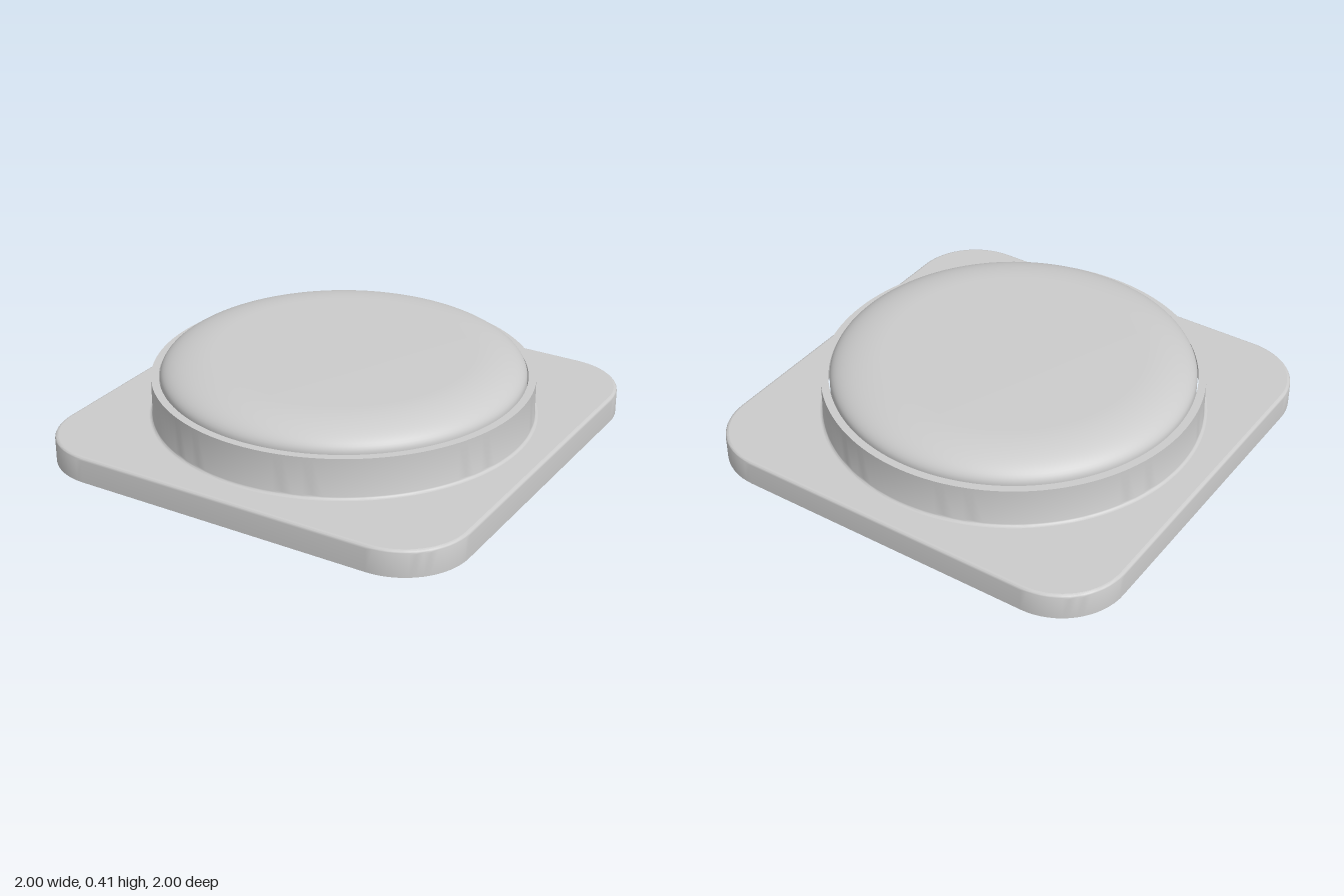
import * as THREE from 'three';
import { toCreasedNormals } from 'three/addons/utils/BufferGeometryUtils.js';

const material = new THREE.MeshStandardMaterial({ color: 0xcccccc, side: THREE.DoubleSide });
const CORNER = 0.3, PLATE_TOP = 0.12, BEVEL = 0.015;

// Rounded square outline, counter-clockwise, shrunk by an inset
function outline(inset) {
  const r = CORNER - inset, c = 1 - CORNER, steps = 16, points = [];
  for (let k = 0; k < 4; k++) {
    const cx = k === 0 || k === 3 ? c : -c, cy = k < 2 ? c : -c;
    for (let i = 0; i <= steps; i++) {
      const a = (k + i / steps) * Math.PI / 2;
      points.push(new THREE.Vector2(cx + r * Math.cos(a), cy + r * Math.sin(a)));
    }
  }
  return points;
}

// Side wall through stacked outlines, given as [inset, height] levels
function loftWall(levels) {
  const positions = [], index = [];
  let n = 0;
  for (const [inset, y] of levels) {
    const ring = outline(inset);
    n = ring.length;
    for (const p of ring) positions.push(p.x, y, -p.y);
  }
  for (let l = 0; l < levels.length - 1; l++) {
    for (let i = 0; i < n; i++) {
      const a = l * n + i, b = l * n + (i + 1) % n;
      index.push(a, b, b + n, a, b + n, a + n);
    }
  }
  const geometry = new THREE.BufferGeometry();
  geometry.setAttribute('position', new THREE.Float32BufferAttribute(positions, 3));
  geometry.setIndex(index);
  return toCreasedNormals(geometry, 0.6);
}

// Turned part from [radius, height] points
function turned(profile) {
  const lathe = new THREE.LatheGeometry(profile.map(([r, y]) => new THREE.Vector2(r, y)), 128);
  return toCreasedNormals(lathe, 0.6);
}

// Points of a quarter ellipse between two angles
function arc(cx, cy, rx, ry, from, to, steps) {
  return Array.from({ length: steps + 1 }, (_, i) => {
    const a = from + (to - from) * i / steps;
    return [cx + rx * Math.cos(a), cy + ry * Math.sin(a)];
  });
}

export function createModel() {
  const group = new THREE.Group();
  const add = (name, geometry) => {
    const mesh = new THREE.Mesh(geometry, material);
    mesh.name = name;
    group.add(mesh);
  };

  // Base plate: hollow skirt with a softened top edge
  add('baseSkirt', loftWall([[0, 0],
    ...arc(BEVEL, PLATE_TOP - BEVEL, -BEVEL, BEVEL, 0, Math.PI / 2, 5)]));

  // Flat top of the plate with the round opening
  const top = new THREE.Shape(outline(BEVEL));
  const hole = new THREE.Path();
  hole.absarc(0, 0, 0.87, 0, Math.PI * 2, true);
  top.holes.push(hole);
  add('baseTop', new THREE.ShapeGeometry(top, 64).rotateX(-Math.PI / 2).translate(0, PLATE_TOP, 0));

  // Collar: small fillet, upright wall and flat rim
  add('collar', turned([
    ...arc(0.87, PLATE_TOP + 0.015, 0.015, 0.015, -Math.PI / 2, -Math.PI, 5),
    [0.855, 0.305], [0.82, 0.305]]));

  // Button: closed drum with a rounded shoulder and a flat top
  add('button', turned([[0, PLATE_TOP], [0.815, PLATE_TOP],
    ...arc(0.565, 0.305, 0.25, 0.1, 0, Math.PI / 2, 16), [0, 0.405]]));

  return group;
}
